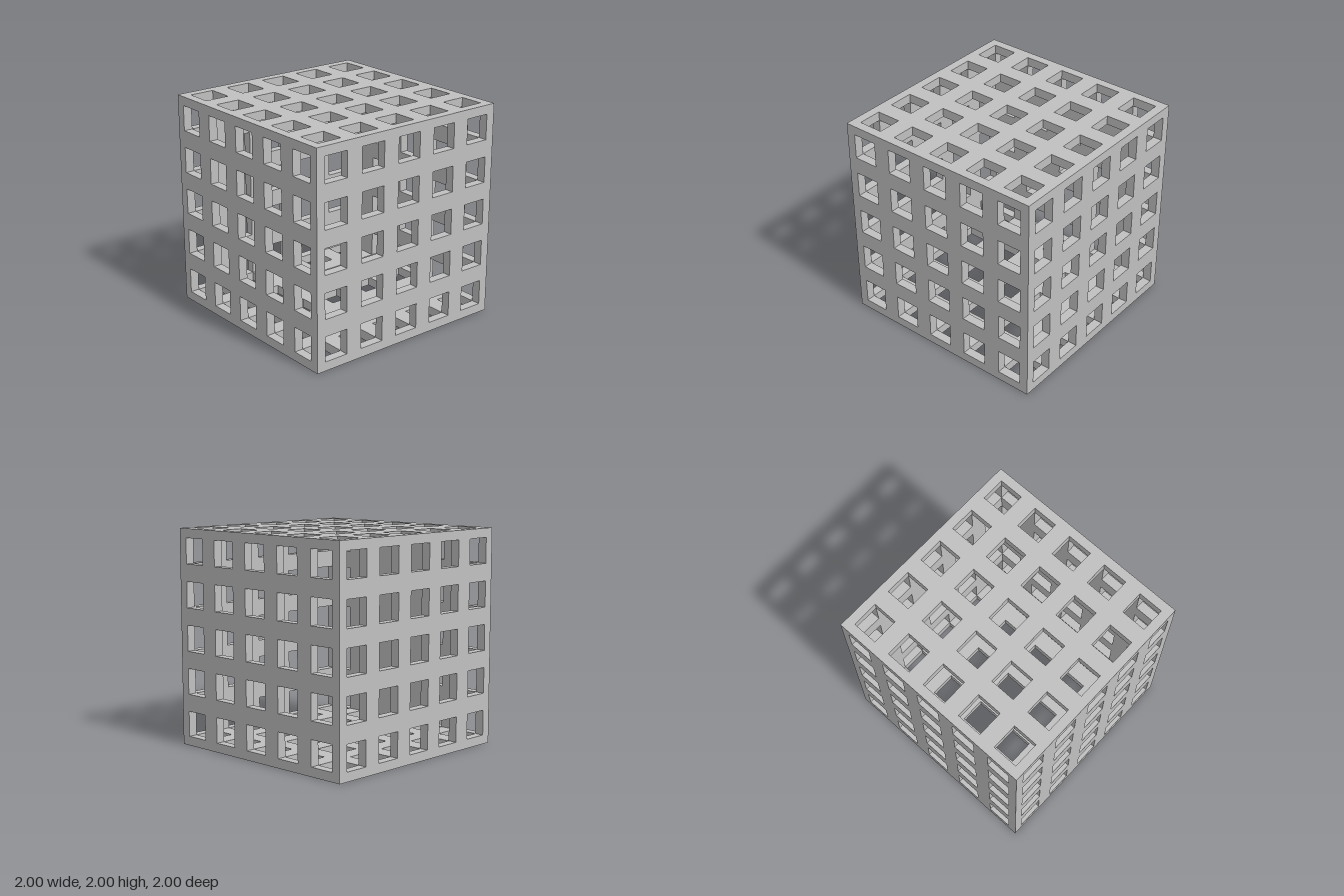
import * as THREE from 'three';

const WALL = 0.085;          // panel thickness
const INNER = 1 - WALL;      // inner face of every panel
const HALF = 0.12;           // half the window width
const CENTRES = [-0.8, -0.4, 0, 0.4, 0.8];

// Start and end of each window along one axis; outer windows end flush with the neighbouring panel
function spans(shift) {
  return CENTRES.map((c, i) => [
    i === 0 ? -INNER : c + shift - HALF,
    i === CENTRES.length - 1 ? INNER : c + shift + HALF,
  ]);
}

// Square panel with a 5 x 5 grid of square windows
function panelGeometry(shiftU, shiftV) {
  const shape = new THREE.Shape();
  shape.moveTo(-1, -1).lineTo(1, -1).lineTo(1, 1).lineTo(-1, 1).closePath();
  for (const [u0, u1] of spans(shiftU)) {
    for (const [v0, v1] of spans(shiftV)) {
      const hole = new THREE.Path();
      hole.moveTo(u0, v0).lineTo(u0, v1).lineTo(u1, v1).lineTo(u1, v0).closePath();
      shape.holes.push(hole);
    }
  }
  return new THREE.ExtrudeGeometry(shape, { depth: WALL, bevelEnabled: false });
}

export function createModel() {
  const group = new THREE.Group();
  group.name = 'hollowGridCube';
  const grey = new THREE.MeshStandardMaterial({ color: 0xc0c0c0 });
  grey.name = 'lightGrey';

  const add = (name, geometry, x, y, z) => {
    const mesh = new THREE.Mesh(geometry, grey);
    mesh.name = name;
    mesh.position.set(x, y, z);
    group.add(mesh);
  };

  // Front and back panels
  const upright = panelGeometry(0, 0);
  add('frontPanel', upright, 0, 1, INNER);
  add('backPanel', upright, 0, 1, -1);

  // Side panels, windows set slightly forward
  const side = panelGeometry(-0.01, 0).rotateY(Math.PI / 2);
  add('leftPanel', side, INNER, 1, 0);
  add('rightPanel', side, -1, 1, 0);

  // Top and bottom panels, windows set slightly forward
  const flat = panelGeometry(0, -0.01).rotateX(-Math.PI / 2);
  add('topPanel', flat, 0, 2 - WALL, 0);
  add('bottomPanel', flat, 0, 0, 0);

  return group;
}
